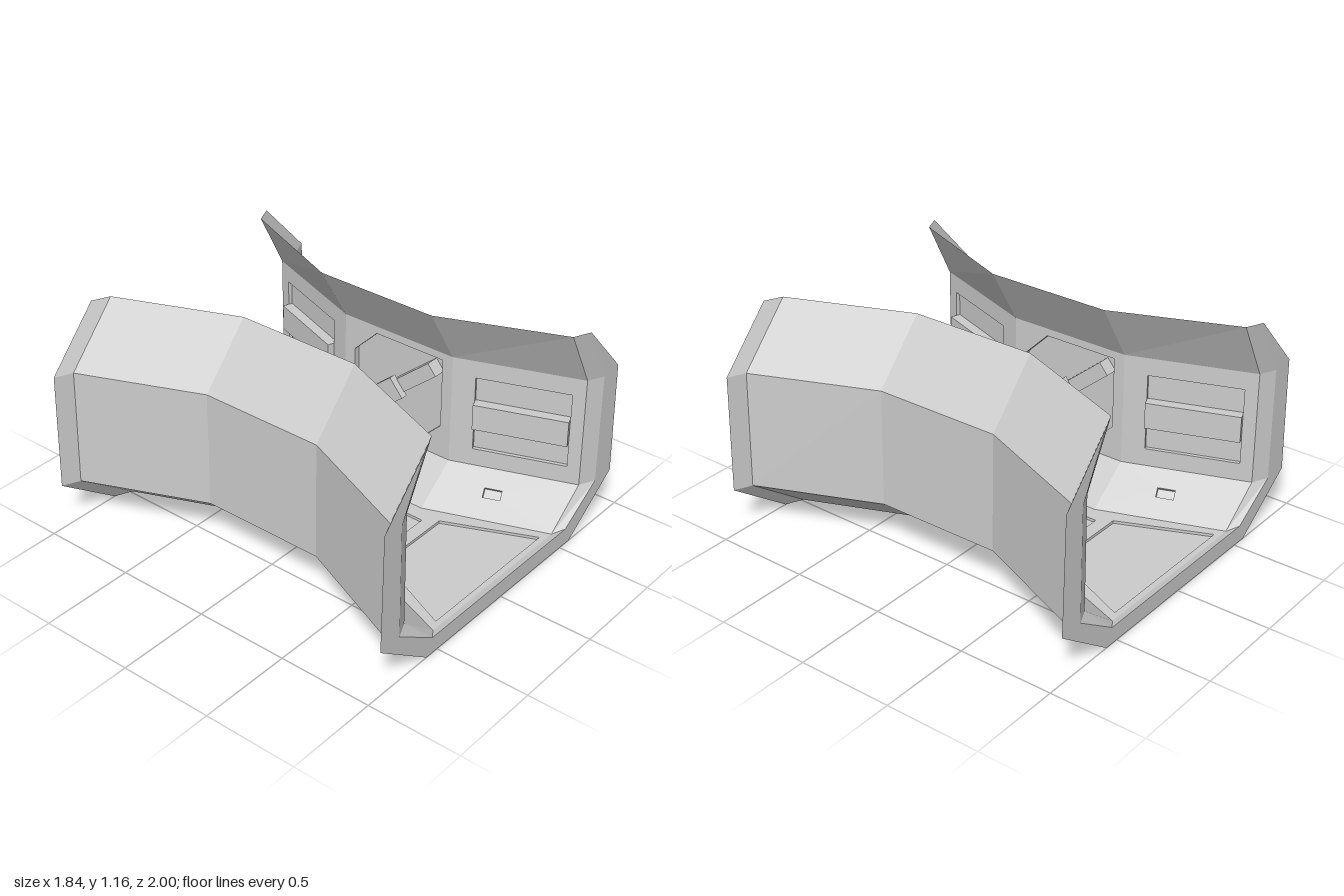
import * as THREE from 'three';

const material = new THREE.MeshStandardMaterial({ color: 0xcccccc, flatShading: true, side: THREE.DoubleSide });

// Half cross-sections from the outer bottom edge, over the top, to the inner floor edge
const RIM = [[0.58, 0], [0.92, 0.245], [0.905, 0.86], [0.63, 1.16], [0.785, 0.85], [0.785, 0.25], [0.54, 0.09]];
const END = [[0.49, 0], [0.83, 0.245], [0.815, 0.86], [0.54, 1.16], [0.70, 0.85], [0.70, 0.25], [0.48, 0.075]];
const MID = [[0.23, 0], [0.565, 0.245], [0.555, 0.86], [0.285, 1.16], [0.47, 0.85], [0.47, 0.25], [0.25, 0.075]];
const SECTIONS = [[1, RIM], [0.96, END], [0.335, MID], [-0.335, MID], [-0.96, END], [-1, RIM]];

function addMesh(parent, geometry, name) {
  const mesh = new THREE.Mesh(geometry, material);
  mesh.name = name;
  parent.add(mesh);
  return mesh;
}

function mirrored(half) {
  return [...half, ...half.map(([x, y]) => [-x, y]).reverse()];
}

// Outer skin, overhangs and flared rims; inner faces of the main bays are left for panels
function shellGeometry() {
  const pos = [];
  const loops = SECTIONS.map(([z, half]) => mirrored(half).map(([x, y]) => [x, y, z]));
  const tri = (a, b, c) => pos.push(...a, ...b, ...c);
  for (let s = 0; s < loops.length - 1; s++) {
    const a = loops[s], b = loops[s + 1], n = a.length;
    const isRim = s === 0 || s === loops.length - 2;
    for (let k = 0; k < n; k++) {
      if (!isRim && k >= 4 && k <= 8) continue;
      const m = (k + 1) % n;
      tri(a[k], b[k], b[m]);
      tri(a[k], b[m], a[m]);
    }
  }
  const outline = mirrored(RIM).map(([x, y]) => new THREE.Vector2(x, y));
  const front = loops[0], back = loops[loops.length - 1];
  for (const [i, j, k] of THREE.ShapeUtils.triangulateShape(outline, [])) {
    tri(front[i], front[j], front[k]);
    tri(back[i], back[k], back[j]);
  }
  const g = new THREE.BufferGeometry();
  g.setAttribute('position', new THREE.Float32BufferAttribute(pos, 3));
  g.computeVertexNormals();
  return g;
}

// Flat panel through planar points, with recessed holes given in its own u, v plane
function panel(parent, name, points, holes, depth) {
  const p = points.map((q) => new THREE.Vector3(...q));
  const u = p[1].clone().sub(p[0]).normalize();
  const n = u.clone().cross(p[p.length - 1].clone().sub(p[0])).normalize();
  const v = n.clone().cross(u);
  const group = new THREE.Group();
  group.name = name;
  group.position.copy(p[0]);
  group.quaternion.setFromRotationMatrix(new THREE.Matrix4().makeBasis(u, v, n));
  parent.add(group);

  const flat = p.map((q) => {
    const d = q.clone().sub(p[0]);
    return new THREE.Vector2(d.dot(u), d.dot(v));
  });
  const shape = new THREE.Shape(flat);
  for (const hole of holes) {
    const outline = hole.map(([a, b]) => new THREE.Vector2(a, b));
    shape.holes.push(new THREE.Path(outline));
    addMesh(group, new THREE.ShapeGeometry(new THREE.Shape(outline)), 'recessBack').position.z = -depth;
  }
  const slab = new THREE.ExtrudeGeometry(shape, { depth, bevelEnabled: false });
  slab.translate(0, 0, -depth);
  addMesh(group, slab, 'panelFace');
  return group;
}

const rect = (u0, v0, u1, v1) => [[u0, v0], [u1, v0], [u1, v1], [u0, v1]];

function box(parent, name, w, h, z0, z1, x, y, angle = 0) {
  const mesh = addMesh(parent, new THREE.BoxGeometry(w, h, z1 - z0), name);
  mesh.position.set(x, y, (z0 + z1) / 2);
  mesh.rotation.z = angle;
}

// One inner side: three wall bays and three sloped skirts
function createSide(name) {
  const side = new THREE.Group();
  side.name = name;
  for (let s = 1; s <= 3; s++) {
    const [zHi, hi] = SECTIONS[s], [zLo, lo] = SECTIONS[s + 1];
    const strip = (k) => [[...lo[k], zLo], [...hi[k], zHi], [...hi[k - 1], zHi], [...lo[k - 1], zLo]];
    const length = Math.hypot(hi[5][0] - lo[5][0], zHi - zLo);

    // Skirt with a small socket
    const c = length / 2;
    panel(side, 'skirt', strip(6), [rect(c - 0.045, 0.115, c + 0.045, 0.165)], 0.02);

    if (s === 2) {
      // Middle bay: recess with two cut corners, diagonal latch and central block
      const recess = [[0.06, 0.04], [0.47, 0.04], [0.61, 0.18], [0.61, 0.56], [0.20, 0.56], [0.06, 0.42]];
      const bay = panel(side, 'latchBay', strip(5), [recess], 0.035);
      box(bay, 'latchBar', 0.62, 0.075, -0.035, 0.035, 0.335, 0.305, 0.7);
      box(bay, 'latchBlock', 0.12, 0.12, 0.03, 0.07, 0.335, 0.305, 0.7);
    } else {
      // Angled bay: shallow window with a raised crossbar
      const [t0, t1] = s === 1 ? [0.18, 0.9] : [0.1, 0.82];
      const u0 = t0 * length, u1 = t1 * length;
      const bay = panel(side, 'windowBay', strip(5), [rect(u0, 0.095, u1, 0.505)], 0.02);
      box(bay, 'crossbar', u1 - u0, 0.14, -0.02, 0.035, (u0 + u1) / 2, 0.3);
    }
  }
  return side;
}

export function createModel() {
  const model = new THREE.Group();
  model.name = 'corridorSection';
  addMesh(model, shellGeometry(), 'outerShell');

  // Both inner sides, turned half a revolution from each other
  model.add(createSide('leftSide'));
  const right = createSide('rightSide');
  right.rotation.y = Math.PI;
  model.add(right);

  // Hourglass floor with three sunken plates
  const edge = SECTIONS.slice(1, 5).map(([z, half]) => [...half[6], z]);
  const floor = [[-edge[0][0], edge[0][1], edge[0][2]], ...edge,
    ...edge.slice(1).reverse().map(([x, y, z]) => [-x, y, z])];
  const plate = (list) => list.map(([x, z]) => [x + edge[0][0], edge[0][2] - z]);
  panel(model, 'floor', floor, [
    plate([[-0.42, 0.93], [0.42, 0.93], [0.22, 0.47], [-0.22, 0.47]]),
    plate([[-0.17, 0.40], [0.17, 0.40], [0.17, -0.40], [-0.17, -0.40]]),
    plate([[-0.22, -0.47], [0.22, -0.47], [0.42, -0.93], [-0.42, -0.93]]),
  ], 0.015);

  return model;
}
